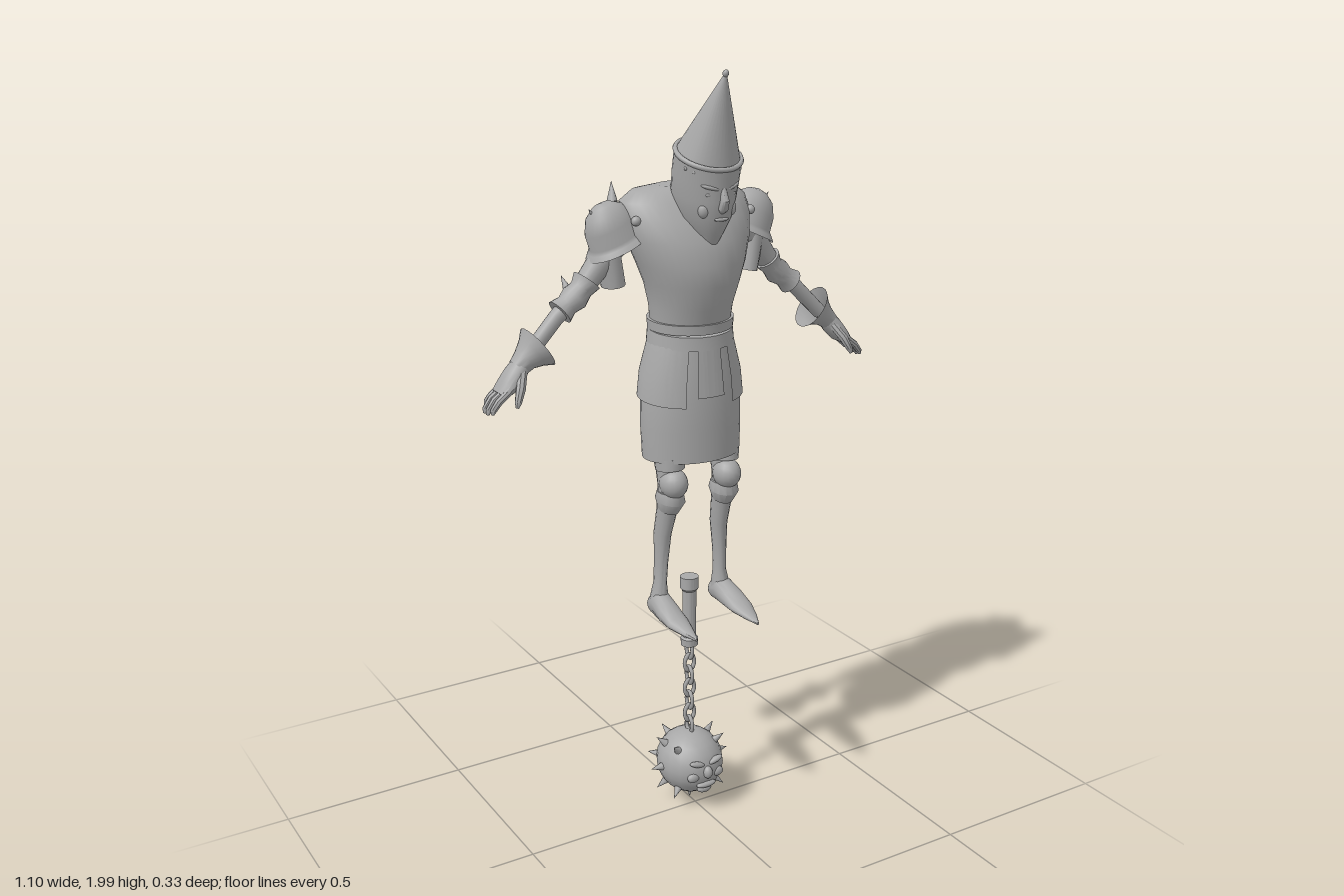
import * as THREE from 'three';
import { toCreasedNormals } from 'three/addons/utils/BufferGeometryUtils.js';

const V = (x, y, z) => new THREE.Vector3(x, y, z);
const steel = new THREE.MeshStandardMaterial({ color: 0xa8a8a8, side: THREE.DoubleSide });
steel.name = 'steel grey';

function mesh(name, geometry, parent) {
  const m = new THREE.Mesh(geometry, steel);
  m.name = name;
  parent.add(m);
  return m;
}

// Skin a list of equal-length rings; closed rings wrap around, caps fill the ends
function skin(rings, closed = true, caps = true) {
  const n = rings[0].length, pos = [], index = [];
  rings.forEach(r => r.forEach(p => pos.push(p.x, p.y, p.z)));
  for (let i = 0; i < rings.length - 1; i++)
    for (let j = 0; j < (closed ? n : n - 1); j++) {
      const a = i * n + j, b = i * n + (j + 1) % n;
      index.push(a, b, a + n, b, b + n, a + n);
    }
  if (closed && caps) [0, rings.length - 1].forEach(i => {
    const c = rings[i].reduce((s, p) => s.add(p), V(0, 0, 0)).divideScalar(n);
    const k = pos.length / 3;
    pos.push(c.x, c.y, c.z);
    for (let j = 0; j < n; j++) {
      const a = i * n + j, b = i * n + (j + 1) % n;
      i ? index.push(a, b, k) : index.push(b, a, k);
    }
  });
  const g = new THREE.BufferGeometry();
  g.setAttribute('position', new THREE.Float32BufferAttribute(pos, 3));
  g.setIndex(index);
  return toCreasedNormals(g, 0.75);
}

// Upright body from rows [y, half width, front z, back z, tilt]; from/to give an arc in degrees
function body(rows, from = 0, to = 360, caps = true, n = 36) {
  const full = to - from === 360;
  return skin(rows.map(([y, rx, zf, zb, tilt = 0]) =>
    Array.from({ length: full ? n : n + 1 }, (_, j) => {
      const a = THREE.MathUtils.degToRad(from + (to - from) * j / n);
      const dz = Math.cos(a) * (zf - zb) / 2;
      return V(Math.sin(a) * rx, y - tilt * dz, (zf + zb) / 2 + dz);
    })), full, caps);
}

// Limb along points [x, y, z, radius across, radius toward ref]
function limb(pts, ref = V(0, 0, 1), caps = true, n = 14) {
  const c = pts.map(p => V(p[0], p[1], p[2]));
  return skin(pts.map(([, , , ru, rv = ru], i) => {
    const t = c[Math.min(i + 1, c.length - 1)].clone().sub(c[Math.max(i - 1, 0)]).normalize();
    const u = t.clone().cross(ref).normalize(), v = u.clone().cross(t);
    return Array.from({ length: n }, (_, j) => {
      const a = j / n * Math.PI * 2;
      return c[i].clone().addScaledVector(u, Math.sin(a) * ru).addScaledVector(v, Math.cos(a) * rv);
    });
  }), true, caps);
}

function spike(parent, at, dir, r = 0.011, h = 0.04) {
  const d = dir.clone().normalize();
  const m = mesh('spike', new THREE.ConeGeometry(r, h, 10), parent);
  m.position.copy(at).addScaledVector(d, h / 2);
  m.quaternion.setFromUnitVectors(V(0, 1, 0), d);
}

function ball(name, parent, [x, y, z], [sx, sy, sz]) {
  const m = mesh(name, new THREE.SphereGeometry(1, 18, 12), parent);
  m.position.set(x, y, z);
  m.scale.set(sx, sy, sz);
  return m;
}

// Mirrored copy across x with corrected corner order
function mirrored(source, name) {
  const out = new THREE.Group();
  out.name = name;
  source.updateMatrixWorld(true);
  source.traverse(o => {
    if (!o.isMesh) return;
    let g = o.geometry.index ? o.geometry.toNonIndexed() : o.geometry.clone();
    g.applyMatrix4(o.matrixWorld).applyMatrix4(new THREE.Matrix4().makeScale(-1, 1, 1));
    g.setIndex(Array.from({ length: g.attributes.position.count }, (_, i) => i % 3 === 1 ? i + 1 : i % 3 === 2 ? i - 1 : i));
    mesh(o.name, g, out);
  });
  return out;
}

function makeArm() {
  const arm = new THREE.Group();
  arm.name = 'leftArm';
  mesh('armSleeve', limb([[0.17, 1.61, -0.07, 0.045], [0.235, 1.53, -0.07, 0.032], [0.285, 1.468, -0.075, 0.026],
    [0.35, 1.415, -0.072, 0.02], [0.43, 1.335, -0.065, 0.019]]), arm);
  // Shoulder plate: domed shell with a flared lip
  const shoulder = mesh('shoulderPlate', new THREE.LatheGeometry([[0.088, -0.012], [0.078, 0], [0.07, 0.008],
    [0.066, 0.045], [0.05, 0.078], [0.026, 0.096], [0, 0.102]].map(p => new THREE.Vector2(...p)), 28), arm);
  shoulder.position.set(0.186, 1.588, -0.064);
  shoulder.rotation.z = -0.42;
  shoulder.scale.z = 0.84;
  spike(arm, V(0.17, 1.675, -0.11), V(-0.1, 1, -0.25), 0.014, 0.05);
  spike(arm, V(0.232, 1.635, -0.065), V(0.6, 0.8, 0), 0.013, 0.045);
  ball('shoulderRivet', arm, [0.163, 1.642, -0.004], [0.012, 0.012, 0.012]);
  mesh('armFlap', limb([[0.212, 1.585, -0.07, 0.03, 0.042], [0.193, 1.478, -0.07, 0.028, 0.04]], V(0, 0, 1), false), arm);
  // Elbow guard
  mesh('elbowGuard', limb([[0.262, 1.497, -0.075, 0.036, 0.04], [0.278, 1.477, -0.075, 0.028, 0.031],
    [0.297, 1.458, -0.075, 0.034, 0.036], [0.318, 1.442, -0.075, 0.027, 0.029], [0.338, 1.427, -0.074, 0.034, 0.038]], V(0, 0, 1), true, 18), arm);
  spike(arm, V(0.305, 1.47, -0.09), V(0.25, 1, -0.5), 0.013, 0.045);
  // Gauntlet
  mesh('gauntletCuff', limb([[0.403, 1.352, -0.066, 0.06, 0.056], [0.42, 1.34, -0.065, 0.043, 0.044],
    [0.44, 1.325, -0.064, 0.03, 0.033], [0.46, 1.307, -0.062, 0.024, 0.028]], V(0, 0, 1), false, 20), arm);
  mesh('palm', limb([[0.445, 1.322, -0.063, 0.022, 0.026], [0.468, 1.295, -0.061, 0.025, 0.035],
    [0.492, 1.268, -0.06, 0.021, 0.039], [0.512, 1.25, -0.06, 0.012, 0.036]]), arm);
  for (let k = 0; k < 4; k++) {
    const z = -0.06 + (k - 1.5) * 0.019, s = k === 0 ? -0.012 : k === 3 ? -0.004 : 0;
    mesh('finger', limb([[0.497, 1.262, z, 0.009], [0.528 + s / 2, 1.24, z, 0.0095],
      [0.545 + s, 1.217 - s, z, 0.008], [0.548 + s, 1.207 - s, z, 0.004]], V(0, 0, 1), true, 8), arm);
  }
  mesh('thumb', limb([[0.458, 1.3, -0.04, 0.012], [0.476, 1.267, -0.014, 0.012],
    [0.488, 1.24, -0.004, 0.009], [0.492, 1.227, -0.002, 0.004]], V(0, 0, 1), true, 8), arm);
  return arm;
}

function makeLeg() {
  const leg = new THREE.Group();
  leg.name = 'leftLeg';
  mesh('legArmour', limb([[0.078, 1.2, -0.015, 0.045, 0.048], [0.082, 1.03, 0, 0.032, 0.04], [0.082, 0.96, 0.006, 0.028, 0.034],
    [0.083, 0.89, -0.004, 0.026, 0.03], [0.086, 0.82, -0.022, 0.022, 0.027], [0.09, 0.74, -0.024, 0.017, 0.023],
    [0.092, 0.68, -0.026, 0.016, 0.022], [0.095, 0.63, -0.026, 0.026, 0.028]]), leg);
  mesh('thighCuff', limb([[0.082, 1.035, 0.006, 0.037, 0.048], [0.081, 1.005, 0.01, 0.036, 0.044]]), leg);
  ball('kneeCap', leg, [0.08, 0.97, 0.026], [0.036, 0.04, 0.042]);
  mesh('shinCuff', limb([[0.081, 0.945, 0.01, 0.032, 0.04], [0.081, 0.922, 0.01, 0.038, 0.044], [0.082, 0.895, 0.002, 0.027, 0.032]]), leg);
  mesh('pointedShoe', limb([[0.093, 0.604, -0.06, 0.016, 0.016], [0.094, 0.612, -0.045, 0.026, 0.027],
    [0.096, 0.622, -0.015, 0.03, 0.037], [0.098, 0.612, 0.03, 0.033, 0.027], [0.098, 0.602, 0.075, 0.032, 0.017],
    [0.096, 0.594, 0.125, 0.018, 0.009], [0.094, 0.589, 0.162, 0.003, 0.004]], V(0, 1, 0)), leg);
  return leg;
}

function makeHead() {
  const head = new THREE.Group();
  head.name = 'head';
  mesh('helmet', body([[1.585, 0.018, 0.09, 0.04], [1.612, 0.04, 0.105, -0.02], [1.65, 0.062, 0.123, -0.05],
    [1.7, 0.074, 0.129, -0.055, 0.1], [1.75, 0.079, 0.133, -0.038, 0.3], [1.795, 0.082, 0.138, -0.02, 0.38]]), head);
  mesh('neck', body([[1.56, 0.07, 0.06, -0.08], [1.65, 0.065, 0.05, -0.07], [1.72, 0.062, 0.05, -0.055]]), head);
  // Face: nose, brows, cheeks
  mesh('nose', limb([[0, 1.728, 0.126, 0.006], [0, 1.695, 0.135, 0.011, 0.012], [0, 1.675, 0.128, 0.013, 0.01], [0, 1.667, 0.12, 0.006]]), head);
  for (const s of [-1, 1]) {
    ball('brow', head, [s * 0.03, 1.727, 0.12], [0.025, 0.006, 0.009]).rotation.set(0, s * 0.35, s * 0.25);
    ball('eye', head, [s * 0.03, 1.71, 0.117], [0.012, 0.006, 0.006]);
    ball('cheek', head, [s * 0.036, 1.672, 0.1], [0.016, 0.02, 0.014]);
  }
  ball('mouth', head, [0, 1.65, 0.12], [0.02, 0.005, 0.007]);
  // Pointed hat with rolled brim, rivets and tip
  const hat = new THREE.Group();
  hat.name = 'pointedHat';
  hat.position.set(0, 1.797, 0.06);
  hat.rotation.x = 0.375;
  head.add(hat);
  mesh('hatCone', new THREE.ConeGeometry(0.078, 0.212, 36), hat).position.y = 0.106;
  const brim = mesh('hatBrim', new THREE.TorusGeometry(0.08, 0.0065, 8, 40), hat);
  brim.rotation.x = Math.PI / 2;
  ball('hatTip', hat, [0, 0.205, 0], [0.0075, 0.009, 0.0075]);
  for (let i = -4; i <= 4; i++)
    ball('hatRivet', hat, [Math.sin(i * 0.3) * 0.08, -0.017, Math.cos(i * 0.3) * 0.08], [0.005, 0.005, 0.005]);
  return head;
}

function makeFlail() {
  const flail = new THREE.Group();
  flail.name = 'flail';
  flail.position.z = -0.03;
  mesh('handle', toCreasedNormals(new THREE.LatheGeometry([[0, 0.475], [0.023, 0.475], [0.024, 0.495], [0.018, 0.5],
    [0.019, 0.635], [0.025, 0.642], [0.025, 0.675], [0, 0.675]].map(p => new THREE.Vector2(...p)), 20), 0.6), flail);
  for (let i = 0; i < 7; i++) {
    const link = mesh('chainLink', new THREE.TorusGeometry(0.015, 0.0055, 8, 18), flail);
    link.position.y = 0.458 - i * 0.038;
    link.scale.y = 1.5;
    link.rotation.y = i % 2 ? 0 : Math.PI / 2;
  }
  ball('spikedBall', flail, [0, 0.125, 0], [0.091, 0.091, 0.098]);
  const dirs = [[180, 0], [180, -90]];
  for (const s of [-1, 1]) dirs.push([90 * s, 0], [138 * s, 0],
    ...[40, -40].flatMap(e => [[58 * s, e], [105 * s, e], [155 * s, e]]));
  for (const [az, el] of dirs) {
    const a = THREE.MathUtils.degToRad(az), e = THREE.MathUtils.degToRad(el);
    const d = V(Math.sin(a) * Math.cos(e), Math.sin(e), Math.cos(a) * Math.cos(e));
    spike(flail, V(0, 0.125, 0).addScaledVector(d, 0.083), d, 0.013, 0.04);
  }
  // Grim face on the front of the ball
  ball('ballNose', flail, [0, 0.128, 0.097], [0.013, 0.018, 0.014]);
  ball('ballMouth', flail, [0, 0.088, 0.088], [0.03, 0.009, 0.012]);
  ball('ballChin', flail, [0, 0.07, 0.078], [0.022, 0.012, 0.012]);
  for (const s of [-1, 1]) {
    ball('ballBrow', flail, [s * 0.028, 0.155, 0.088], [0.024, 0.008, 0.01]).rotation.z = s * 0.3;
    ball('ballCheek', flail, [s * 0.038, 0.115, 0.084], [0.018, 0.014, 0.011]);
  }
  return flail;
}

export function createModel() {
  const model = new THREE.Group();
  model.name = 'armouredFigure';
  mesh('breastplate', body([[1.36, 0.104, 0.062, -0.115], [1.42, 0.108, 0.078, -0.122], [1.48, 0.123, 0.097, -0.132],
    [1.53, 0.142, 0.1, -0.143], [1.59, 0.165, 0.088, -0.158], [1.64, 0.178, 0.062, -0.164], [1.68, 0.172, 0.035, -0.154],
    [1.705, 0.14, 0.015, -0.132], [1.715, 0.08, 0, -0.1]]), model);
  // Belt bands, dipping at the front
  mesh('upperBelt', body([[1.363, 0.112, 0.072, -0.121, 0.05], [1.388, 0.114, 0.074, -0.123, 0.05]]), model);
  mesh('lowerBelt', body([[1.328, 0.115, 0.074, -0.123, 0.1], [1.362, 0.112, 0.071, -0.12, 0.1]]), model);
  // Skirt with hip plates over its upper half
  mesh('skirt', body([[1.03, 0.134, 0.079, -0.121], [1.11, 0.137, 0.08, -0.125], [1.2, 0.136, 0.079, -0.126],
    [1.28, 0.124, 0.072, -0.122], [1.35, 0.106, 0.064, -0.114]], 0, 360, false), model);
  for (const [from, to] of [[28, 168], [192, 332]])
    mesh('hipPlate', body([[1.188, 0.144, 0.083, -0.133, 0.12], [1.25, 0.137, 0.08, -0.13, 0.1],
      [1.335, 0.113, 0.071, -0.12]], from, to), model);
  mesh('frontPlate', body([[1.2, 0.138, 0.083, -0.128], [1.33, 0.113, 0.071, -0.12]], -16, 16), model);
  const arm = makeArm(), leg = makeLeg();
  model.add(arm, mirrored(arm, 'rightArm'), leg, mirrored(leg, 'rightLeg'), makeHead(), makeFlail());
  return model;
}
